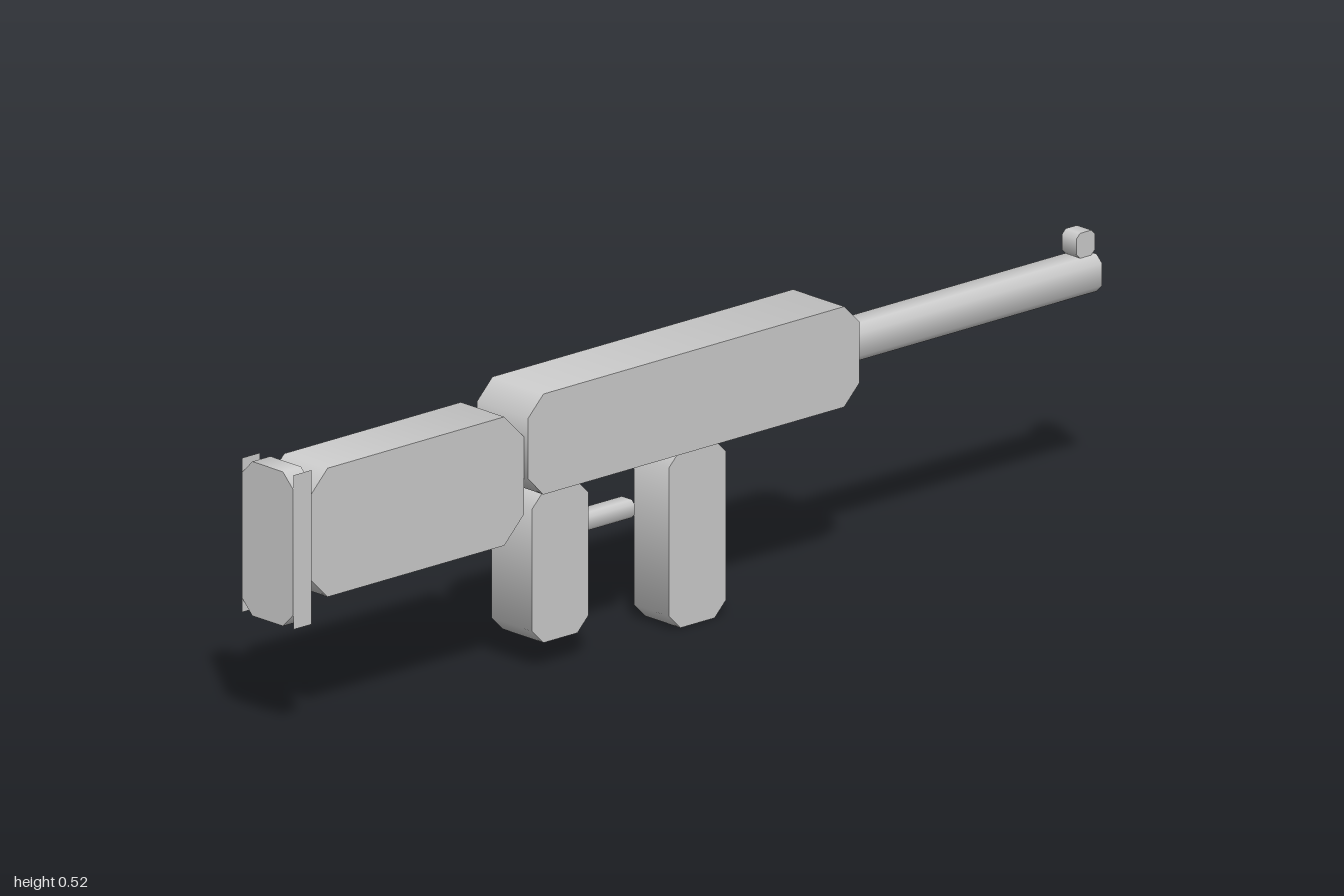
import * as THREE from 'three';

// Chamfered bar: an eight-sided prism along z or x with corner cuts at 20% of its short side
function chamferedBar(axis, size) {
  const geo = new THREE.CylinderGeometry(1, 1, 1, 8, 1, false, Math.PI / 8);
  if (axis === 'z') geo.rotateX(Math.PI / 2);
  else geo.rotateZ(Math.PI / 2);
  const across = axis === 'z' ? [0, 1] : [1, 2];
  const cut = 0.2 * Math.min(size[across[0]], size[across[1]]);
  const pos = geo.attributes.position;
  for (let i = 0; i < pos.count; i++) {
    for (let k = 0; k < 3; k++) {
      const v = pos.getComponent(i, k);
      const half = size[k] / 2;
      if (!across.includes(k)) pos.setComponent(i, k, v * size[k]);
      else if (Math.abs(v) < 1e-6) pos.setComponent(i, k, 0); // cap centre
      else pos.setComponent(i, k, Math.sign(v) * (Math.abs(v) > 0.6 ? half : half - cut));
    }
  }
  return geo;
}

export function createModel() {
  const group = new THREE.Group();
  const grey = new THREE.MeshStandardMaterial({ color: 0xcccccc, side: THREE.DoubleSide });
  grey.name = 'light grey';

  const add = (name, geo, x, y, z) => {
    const mesh = new THREE.Mesh(geo, grey);
    mesh.name = name;
    mesh.position.set(x, y, z);
    group.add(mesh);
  };
  const bar = (name, axis, [x0, x1], [y0, y1], halfZ) =>
    add(name, chamferedBar(axis, [x1 - x0, y1 - y0, 2 * halfZ]), (x0 + x1) / 2, (y0 + y1) / 2, 0);

  // Main body and stock
  bar('receiver', 'z', [-0.428, 0.38], [0.335, 0.524], 0.067);
  bar('stock', 'z', [-0.955, -0.428], [0.256, 0.498], 0.057);

  // Butt plate with thin full-height side sheets
  bar('buttPlate', 'x', [-1, -0.956], [0.218, 0.508], 0.067);
  for (const side of [-1, 1]) {
    add('buttPlateSide', new THREE.PlaneGeometry(0.044, 0.29), -0.978, 0.363, side * 0.0674);
  }

  // Grip, trigger and magazine
  bar('grip', 'z', [-0.405, -0.267], [0.05, 0.335], 0.053);
  bar('trigger', 'x', [-0.267, -0.125], [0.219, 0.253], 0.02);
  bar('magazine', 'z', [-0.065, 0.074], [0, 0.335], 0.046);

  // Barrel and front sight
  bar('barrel', 'x', [0.38, 1], [0.394, 0.464], 0.035);
  bar('frontSight', 'z', [0.952, 0.998], [0.464, 0.511], 0.019);

  return group;
}
